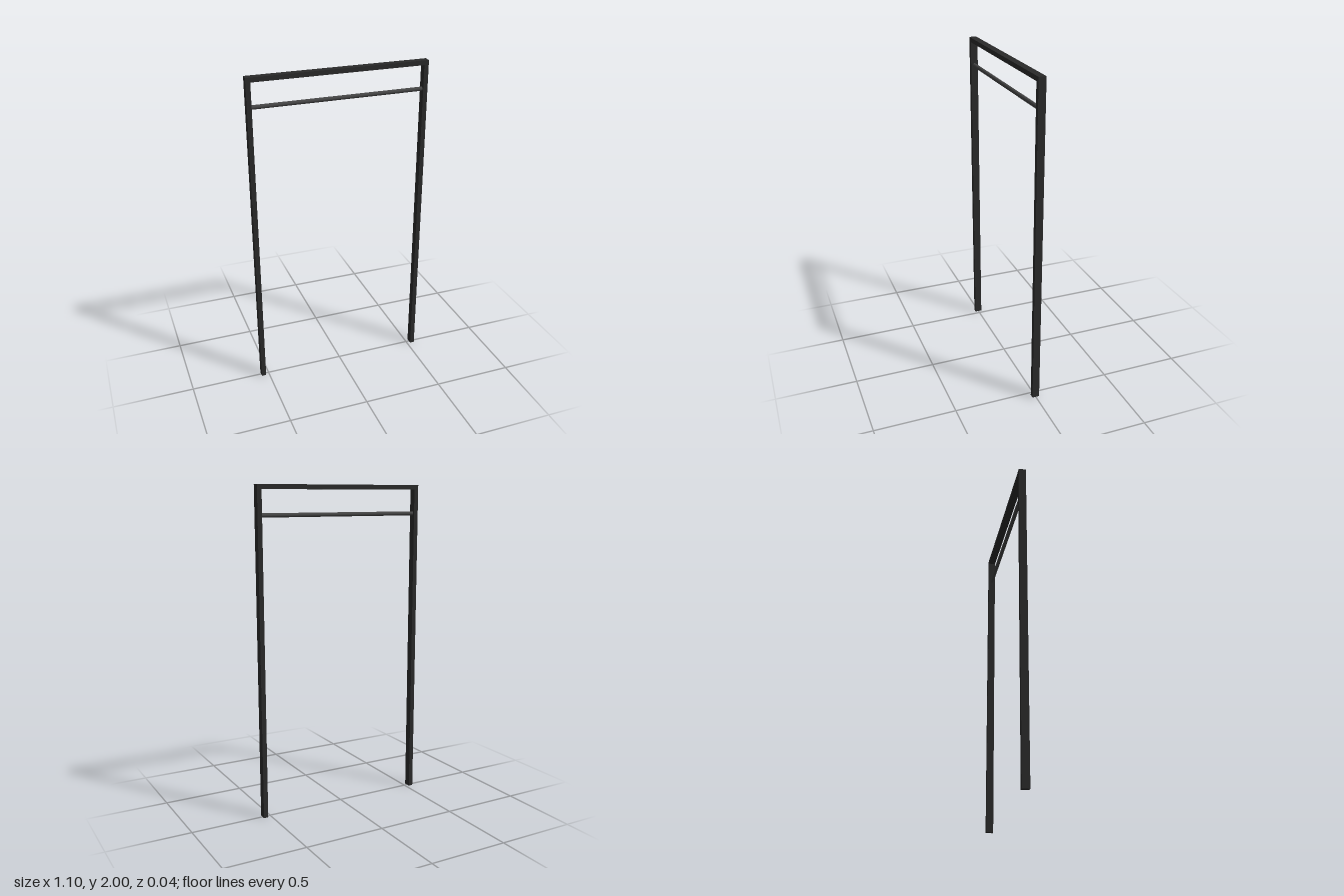
import * as THREE from 'three';

const W = 1.1, H = 2, T = 0.028, D = 0.044; // outer width, height, bar thickness, bar depth

export function createModel() {
  const model = new THREE.Group();
  model.name = 'clothesRack';
  const frameMaterial = new THREE.MeshStandardMaterial({ color: 0x2a2a2a });
  const rodMaterial = new THREE.MeshStandardMaterial({ color: 0x444444 });

  // Upright frame: one flat bar outline, open at the floor
  const outline = new THREE.Shape([
    [-W / 2, 0], [-W / 2 + T, 0], [-W / 2 + T, H - T], [W / 2 - T, H - T],
    [W / 2 - T, 0], [W / 2, 0], [W / 2, H], [-W / 2, H],
  ].map(([x, y]) => new THREE.Vector2(x, y)));
  const frameGeometry = new THREE.ExtrudeGeometry(outline, { depth: D, bevelEnabled: false });
  frameGeometry.translate(0, 0, -D / 2);
  const frame = new THREE.Mesh(frameGeometry, frameMaterial);
  frame.name = 'frame';
  model.add(frame);

  // Round hanging rod between the posts
  const rod = new THREE.Mesh(new THREE.CylinderGeometry(0.0125, 0.0125, W - 2 * T, 32), rodMaterial);
  rod.name = 'hangingRod';
  rod.rotation.z = Math.PI / 2;
  rod.position.y = 1.825;
  model.add(rod);

  return model;
}
